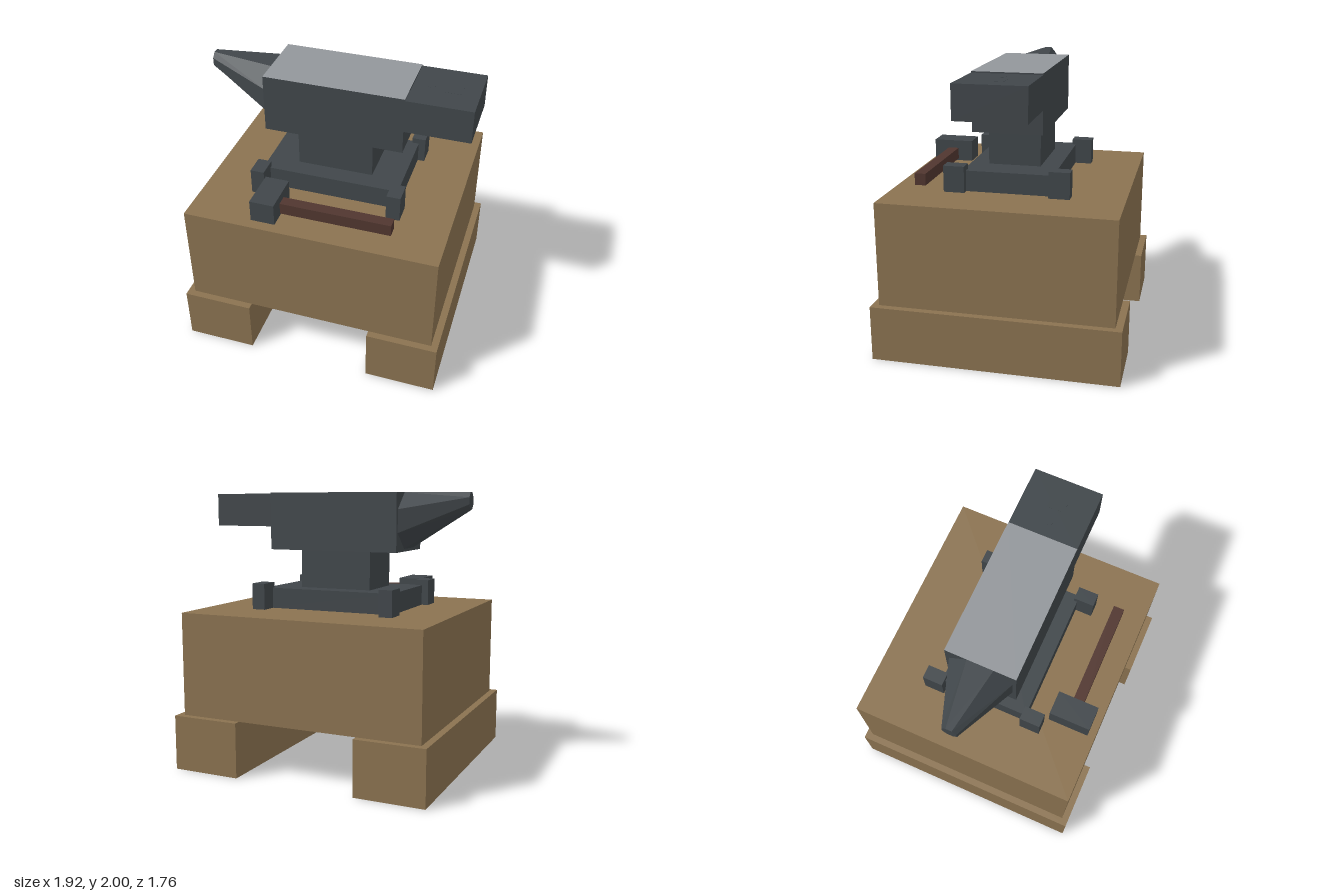
import * as THREE from 'three';

const material = (name, color) => {
  const m = new THREE.MeshStandardMaterial({ color });
  m.name = name;
  return m;
};

export function createModel() {
  const model = new THREE.Group();
  model.name = 'anvilOnBlock';

  const wood = material('wood', 0x8a7250);
  wood.side = THREE.DoubleSide; // the feet are open underneath
  const iron = material('darkIron', 0x40464a);
  const steel = material('polishedSteel', 0x92969a);
  const handleWood = material('handleWood', 0x50362f);

  const add = (name, geometry, mat, parent = model) => {
    const mesh = new THREE.Mesh(geometry, mat);
    mesh.name = name;
    parent.add(mesh);
    return mesh;
  };

  // Box given by its low and high limits on each axis
  const box = (name, [x0, x1], [y0, y1], [z0, z1], mat, parent) => {
    const mesh = add(name, new THREE.BoxGeometry(x1 - x0, y1 - y0, z1 - z0), mat, parent);
    mesh.position.set((x0 + x1) / 2, (y0 + y1) / 2, (z0 + z1) / 2);
    return mesh;
  };

  // Wooden block on two long feet
  box('block', [-0.91, 0.91], [0.4, 1.15], [-0.83, 0.83], wood);
  for (const [name, x] of [['leftFoot', [0.45, 0.96]], ['rightFoot', [-0.96, -0.45]]]) {
    const foot = box(name, x, [0, 0.4], [-0.88, 0.88], wood).geometry;
    // Leave out the bottom face (indices 18 to 23)
    foot.setIndex(Array.from(foot.index.array).filter((_, i) => i < 18 || i > 23));
    foot.clearGroups();
  }

  // Anvil, stacked from base to face
  const anvil = new THREE.Group();
  anvil.name = 'anvil';
  model.add(anvil);
  box('anvilBase', [-0.5, 0.5], [1.15, 1.3], [-0.325, 0.325], iron, anvil);
  box('waist', [-0.275, 0.275], [1.3, 1.58], [-0.19, 0.19], iron, anvil);
  box('body', [-0.5, 0.5], [1.58, 2], [-0.25, 0.25],
    [iron, iron, steel, iron, iron, iron], anvil);
  box('heel', [0.5, 0.96], [1.75, 1.99], [-0.25, 0.25], iron, anvil);

  // Tool holes on the heel, as thin plates
  box('squareHole', [0.72, 0.84], [1.985, 1.991], [-0.06, 0.06], iron, anvil);
  add('roundHole', new THREE.CylinderGeometry(0.03, 0.03, 0.006, 8), iron, anvil)
    .position.set(0.625, 1.988, 0);

  // Horn: an eight-sided taper with a level top edge
  const horn = new THREE.CylinderGeometry(1, 1, 1, 8, 1, false, Math.PI / 8).toNonIndexed();
  const p = horn.attributes.position;
  const { lerp } = THREE.MathUtils;
  for (let i = 0; i < p.count; i++) {
    const t = p.getY(i) + 0.5;
    p.setXYZ(i,
      -0.5 - 0.46 * t,
      lerp(1.8, 1.94, t) + p.getX(i) * lerp(0.2165, 0.065, t),
      p.getZ(i) * lerp(0.2435, 0.056, t));
  }
  horn.computeVertexNormals();
  horn.clearGroups();
  add('horn', horn, iron, anvil);

  // Clamps at the corners of the base
  for (const sx of [-1, 1]) {
    for (const sz of [-1, 1]) {
      const clamp = add('cornerClamp', new THREE.BoxGeometry(0.1, 0.19, 0.15), iron, anvil);
      clamp.position.set(sx * 0.5, 1.245, sz * 0.375);
    }
  }

  // Hammer lying in front of the anvil
  const hammer = new THREE.Group();
  hammer.name = 'hammer';
  model.add(hammer);
  box('hammerHead', [-0.425, -0.25], [1.17, 1.33], [0.475, 0.775], iron, hammer);
  box('hammerHandle', [-0.25, 0.545], [1.185, 1.27], [0.585, 0.665], handleWood, hammer);

  return model;
}
